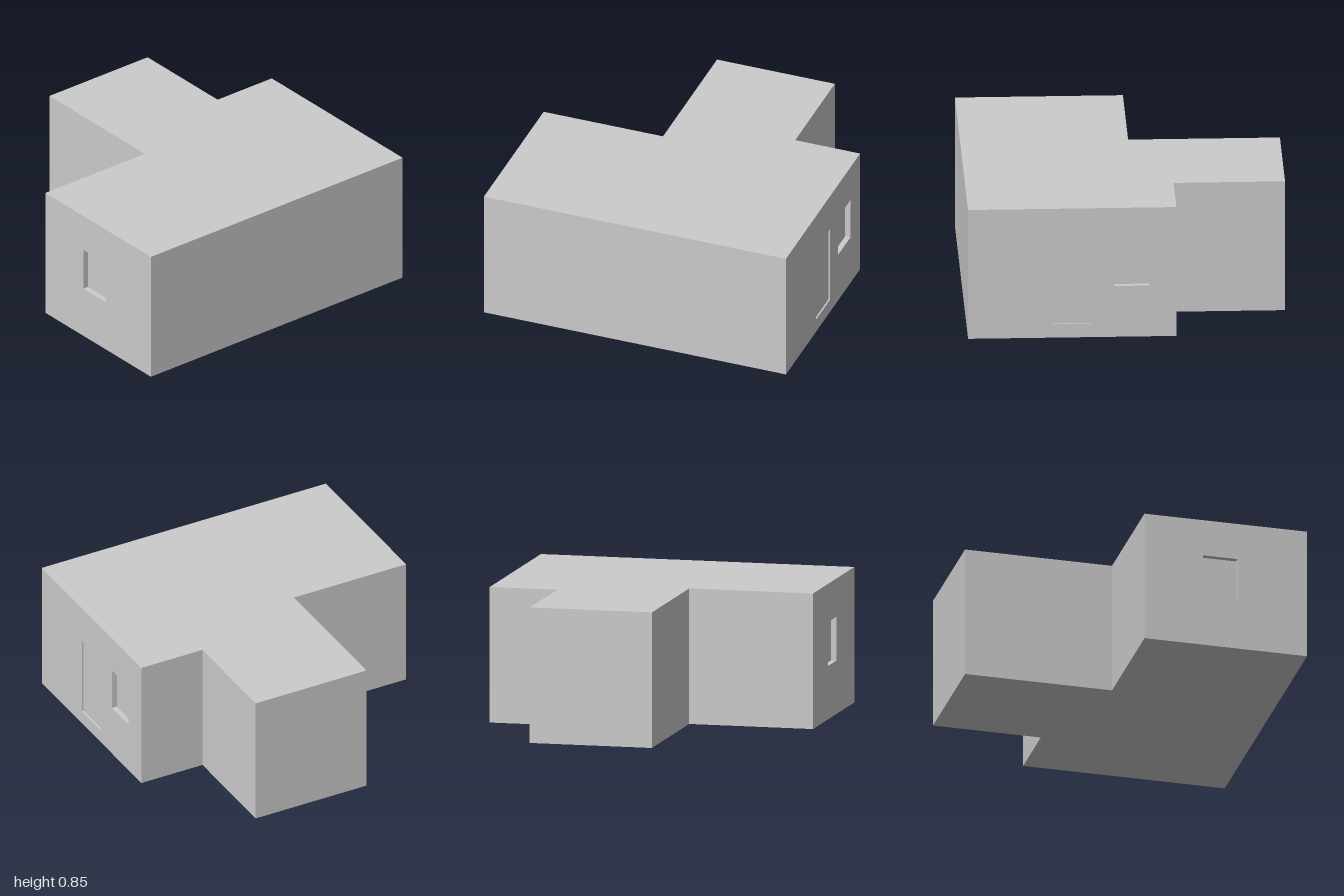
import * as THREE from 'three';

const HEIGHT = 0.85;

// Plan corners [x, z], counter-clockwise seen from above, starting at the front wall
const PLAN = [
  [-0.05, 1], [0.99, 1], [0.99, -1], [-0.3, -1],
  [-0.3, -0.57], [-0.99, -0.57], [-0.99, 0.21], [-0.05, 0.21],
];

// Recesses per wall; u runs along the wall from its first corner
const RECESSES = {
  0: [{ name: 'frontWindow', u0: 0.375, u1: 0.595, y0: 0.335, y1: 0.61, depth: 0.035 }],
  2: [
    { name: 'backDoor', u0: 0.522, u1: 0.768, y0: 0.09, y1: 0.61, depth: 0.01 },
    { name: 'backWindow', u0: 0.907, u1: 1.122, y0: 0.335, y1: 0.61, depth: 0.035 },
  ],
};

const material = new THREE.MeshStandardMaterial({ color: 0xcccccc });

function makeMesh(name, geometry) {
  const mesh = new THREE.Mesh(geometry, material);
  mesh.name = name;
  return mesh;
}

function rectangle(PathType, u0, y0, u1, y1) {
  return new PathType([[u0, y0], [u1, y0], [u1, y1], [u0, y1]].map(([u, y]) => new THREE.Vector2(u, y)));
}

// A box open to the outside, with its faces turned inwards
function recessGeometry({ u0, u1, y0, y1, depth }) {
  const geometry = new THREE.BoxGeometry(u1 - u0, y1 - y0, depth);
  const index = Array.from(geometry.index.array);
  index.splice(24, 6); // open front
  geometry.setIndex(index.reverse());
  geometry.clearGroups();
  geometry.computeVertexNormals();
  return geometry.translate((u0 + u1) / 2, (y0 + y1) / 2, -depth / 2);
}

// Upright wall between two plan corners, cut out for its recesses
function makeWall(name, [ax, az], [bx, bz], recesses) {
  const wall = new THREE.Group();
  wall.name = name;
  const length = Math.hypot(bx - ax, bz - az);
  const face = rectangle(THREE.Shape, 0, 0, length, HEIGHT);
  for (const r of recesses) {
    face.holes.push(rectangle(THREE.Path, r.u0, r.y0, r.u1, r.y1));
    wall.add(makeMesh(r.name, recessGeometry(r)));
  }
  wall.add(makeMesh(name + 'Face', new THREE.ShapeGeometry(face)));
  wall.position.set(ax, 0, az);
  wall.rotation.y = Math.atan2(az - bz, bx - ax);
  return wall;
}

// Flat slab outline of the plan, facing up (1) or down (-1)
function planGeometry(facing) {
  const shape = new THREE.Shape(PLAN.map(([x, z]) => new THREE.Vector2(x, -facing * z)));
  return new THREE.ShapeGeometry(shape).rotateX(-facing * Math.PI / 2);
}

export function createModel() {
  const house = new THREE.Group();
  house.name = 'house';

  // Walls
  const names = ['frontWall', 'leftWall', 'backWall', 'backCornerWall',
    'wingBackWall', 'wingEndWall', 'wingFrontWall', 'frontCornerWall'];
  PLAN.forEach((corner, i) => {
    house.add(makeWall(names[i], corner, PLAN[(i + 1) % PLAN.length], RECESSES[i] ?? []));
  });

  // Flat roof and underside
  const roof = makeMesh('roof', planGeometry(1));
  roof.position.y = HEIGHT;
  house.add(roof, makeMesh('floor', planGeometry(-1)));

  return house;
}
